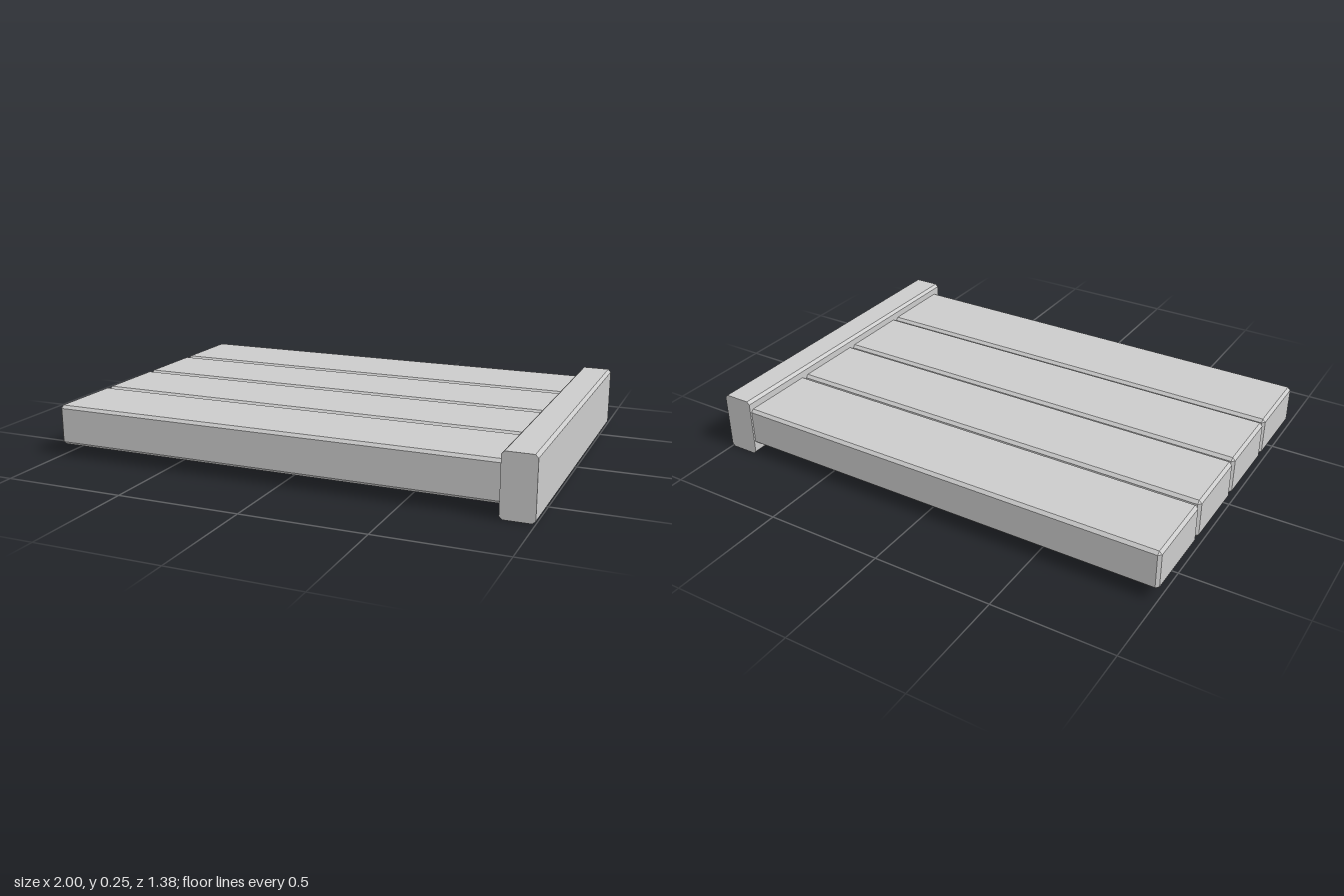
import * as THREE from 'three';
import { ConvexGeometry } from 'three/addons/geometries/ConvexGeometry.js';

const material = new THREE.MeshStandardMaterial({ color: 0xcccccc, flatShading: true });

// Box between two corners; every edge is chamfered, or only those running along z
function chamferedBox(name, min, max, c, alongZOnly = false) {
  const half = max.map((v, i) => (v - min[i]) / 2);
  const points = [];
  for (const sx of [-1, 1]) for (const sy of [-1, 1]) for (const sz of [-1, 1]) {
    const s = [sx, sy, sz];
    for (const face of alongZOnly ? [0, 1] : [0, 1, 2]) {
      points.push(new THREE.Vector3(...half.map((h, i) =>
        s[i] * (i === face || (alongZOnly && i === 2) ? h : h - c))));
    }
  }
  const mesh = new THREE.Mesh(new ConvexGeometry(points), material);
  mesh.position.set(...min.map((v, i) => (v + max[i]) / 2));
  mesh.name = name;
  return mesh;
}

export function createModel() {
  const model = new THREE.Group();
  model.name = 'plankPanel';

  // Four planks side by side with narrow gaps, let into the end beam
  const spans = [[-0.685, -0.347], [-0.335, -0.013], [-0.002, 0.324], [0.335, 0.67]];
  spans.forEach(([z0, z1], i) => {
    model.add(chamferedBox(`plank${i + 1}`, [-1, 0.047, z0], [0.89, 0.213, z1], 0.012));
  });

  // Taller cross beam with square-cut ends
  model.add(chamferedBox('endBeam', [0.868, 0, -0.692], [1, 0.253, 0.692], 0.012, true));
  return model;
}
